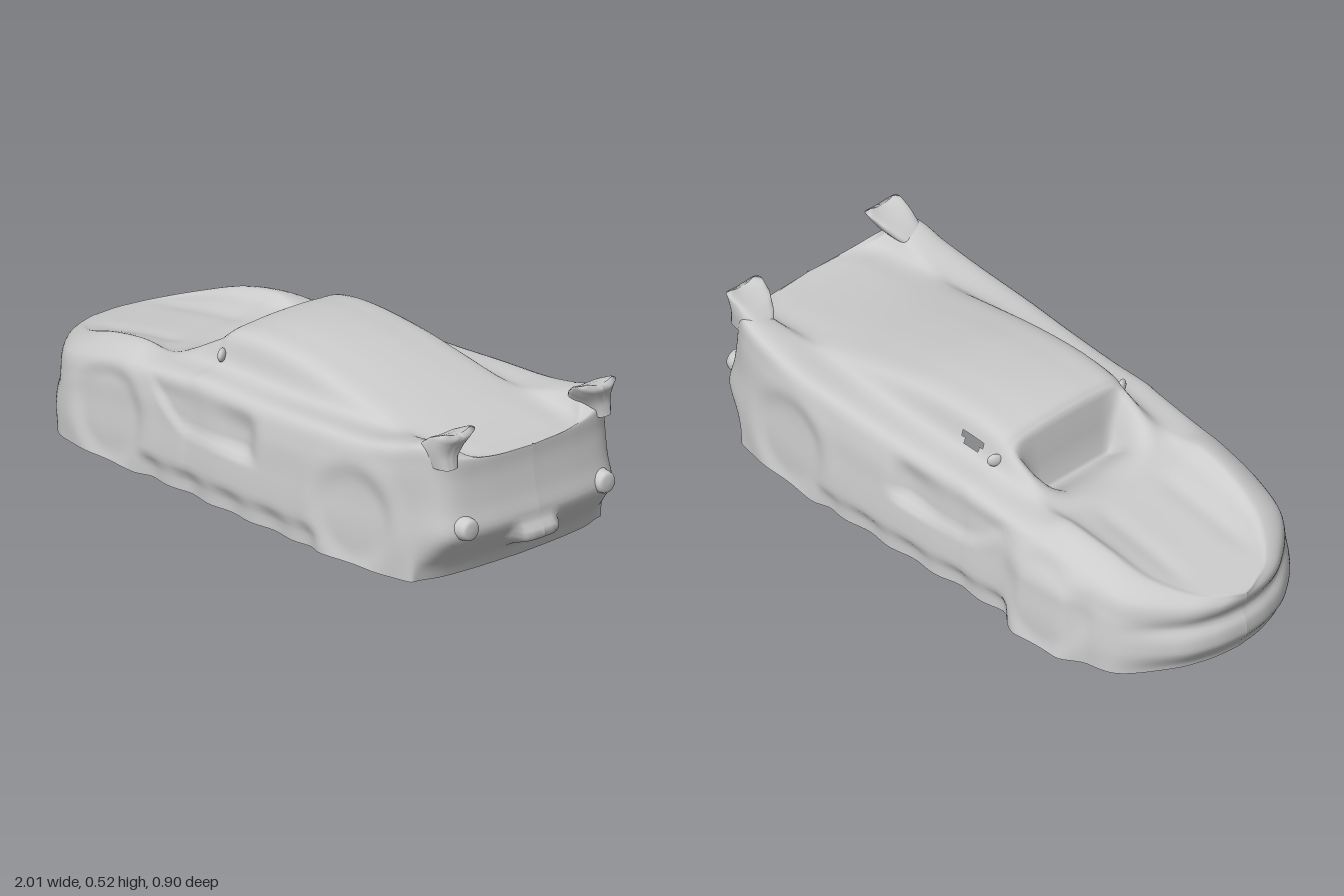
import * as THREE from 'three';

const { smoothstep, lerp } = THREE.MathUtils;
const material = new THREE.MeshStandardMaterial({ color: 0xcccccc, side: THREE.DoubleSide });

// Body stations, nose to tail:
// x, half width, shoulder z, shoulder y, cabin base z, cabin base y, roof edge y, roof centre y
const stations = [
  [-0.995, 0, 0, 0.21, 0, 0.22, 0.225, 0.23],
  [-0.98, 0.11, 0.10, 0.215, 0.06, 0.235, 0.24, 0.24],
  [-0.93, 0.225, 0.20, 0.23, 0.15, 0.255, 0.255, 0.255],
  [-0.8, 0.36, 0.325, 0.26, 0.24, 0.298, 0.288, 0.28],
  [-0.65, 0.395, 0.36, 0.30, 0.27, 0.348, 0.325, 0.305],
  [-0.5, 0.405, 0.37, 0.33, 0.28, 0.372, 0.345, 0.325],
  [-0.38, 0.41, 0.375, 0.34, 0.28, 0.36, 0.355, 0.35],
  [-0.2, 0.42, 0.38, 0.36, 0.28, 0.385, 0.45, 0.465],
  [-0.14, 0.42, 0.38, 0.37, 0.28, 0.393, 0.482, 0.505],
  [0, 0.43, 0.38, 0.37, 0.28, 0.396, 0.494, 0.52],
  [0.2, 0.435, 0.385, 0.375, 0.28, 0.396, 0.48, 0.507],
  [0.4, 0.437, 0.39, 0.385, 0.28, 0.40, 0.448, 0.468],
  [0.6, 0.425, 0.39, 0.395, 0.275, 0.40, 0.413, 0.425],
  [0.75, 0.41, 0.38, 0.42, 0.285, 0.423, 0.398, 0.40],
  [0.87, 0.385, 0.365, 0.45, 0.29, 0.443, 0.392, 0.387],
  [0.94, 0.33, 0.31, 0.41, 0.235, 0.40, 0.387, 0.385],
  [0.965, 0.20, 0.19, 0.385, 0.13, 0.385, 0.385, 0.385],
  [0.975, 0, 0, 0.382, 0, 0.383, 0.384, 0.384],
];

// Smooth blend of all station columns
function stationAt(t) {
  const i = Math.min(Math.floor(t), stations.length - 2);
  const f = t - i;
  const at = (k) => stations[Math.max(0, Math.min(stations.length - 1, k))];
  return stations[0].map((_, c) => {
    const [a, b, d, e] = [at(i - 1)[c], at(i)[c], at(i + 1)[c], at(i + 2)[c]];
    return b + 0.5 * f * (d - a + f * (2 * a - 5 * b + 4 * d - e + f * (3 * (b - d) + e - a)));
  });
}

// Full cross-section, sill to sill over the roof
function sectionCurve([, w, ws, ys, wc, yb, ye, yr]) {
  const half = [
    [w * 1.015, 0], [w * 1.01, ys * 0.28], [w * 0.985, ys * 0.55], [lerp(w, ws, 0.4), ys - 0.07], [ws, ys],
    [wc, yb], [wc * 0.83, ye], [wc * 0.45, lerp(ye, yr, 0.8)],
  ];
  const points = [...half, [0, yr], ...half.map(([z, y]) => [-z, y]).reverse()];
  return new THREE.CatmullRomCurve3(points.map(([z, y]) => new THREE.Vector3(0, y, z)));
}

// Wheel faces, sills and door scoops, as a shift of the side wall in z
function sideRelief(x, y, right) {
  let d = 0;
  for (const cx of [-0.53, 0.6]) {
    const r = Math.hypot(x - cx, y - 0.15);
    d += 0.004 * Math.exp(-(((r - 0.19) / 0.04) ** 2));
    d -= 0.009 * (1 - smoothstep(r, 0.11, 0.18));
  }
  // lumpy undercut sill under the door
  const betweenWheels = smoothstep(x, -0.4, -0.32) * (1 - smoothstep(x, 0.4, 0.48));
  d -= (0.015 + 0.006 * Math.sin(x * 32)) * betweenWheels * (1 - smoothstep(y, 0.04, 0.085));
  // hollow behind the sweeping door line, deepest at its rear end
  const lower = 0.19 + 0.17 * (Math.min(0, x + 0.14) / 0.24) ** 2;
  const scoop = smoothstep(y, lower - 0.005, lower + 0.03) * (1 - smoothstep(y, 0.27, 0.36));
  d -= scoop * lerp(0.013, 0.03, smoothstep(x, -0.1, 0.08)) *
    smoothstep(x, -0.4, -0.33) * (1 - smoothstep(x, 0.09, 0.18));
  // wider front fender on the right-hand flank
  if (right) d += 0.038 * smoothstep(x, -0.7, -0.6) * (1 - smoothstep(x, -0.44, -0.33)) * (1 - smoothstep(y, 0.2, 0.33));
  return d;
}

function bodyShell() {
  const rows = (stations.length - 1) * 10, cols = 96;
  const pos = [], index = [];
  for (let i = 0; i <= rows; i++) {
    const s = stationAt((i / rows) * (stations.length - 1));
    const curve = sectionCurve(s);
    for (let j = 0; j <= cols; j++) {
      const t = j / cols;
      let { y, z } = curve.getPoint(t);
      let x = s[0];
      // small opening in the right-hand cabin side
      const opening = z < -0.2 && ((x + 0.06) / 0.045) ** 2 + ((y - 0.44) / 0.022) ** 2 < 1;
      // side relief fades out at the shoulder and at both ends
      const side = 1 - smoothstep(Math.min(t, 1 - t), 0.2, 0.27);
      const ends = smoothstep(x, -0.9, -0.75) * (1 - smoothstep(x, 0.8, 0.88));
      z += Math.sign(z) * sideRelief(x, y, z < 0) * side * ends;
      // rounded windscreen pocket ending in a steep wall under the roof edge
      const pocket = smoothstep(x, -0.46 + 0.8 * Math.abs(z) ** 1.5, -0.22) * (1 - smoothstep(x, -0.215, -0.185)) *
        (1 - smoothstep(Math.abs(z), 0.14, 0.235));
      y = lerp(y, Math.min(y, 0.27), pocket);
      // long creases in the bonnet
      y -= 0.008 * Math.exp(-(((Math.abs(z) - 0.13) / 0.035) ** 2)) *
        smoothstep(x, -0.93, -0.75) * (1 - smoothstep(x, -0.55, -0.42));
      // nose lip and tail bumper profiles
      const nose = 1 - smoothstep(x, -0.98, -0.75);
      const tail = smoothstep(x, 0.82, 0.95);
      x += nose * (0.022 * Math.exp(-(((y - 0.16) / 0.03) ** 2)) + 0.04 * (1 - smoothstep(y, 0, 0.08)));
      x += tail * (0.018 * Math.exp(-(((y - 0.17) / 0.05) ** 2)) - 0.085 * (1 - smoothstep(y, -0.02, 0.13)));
      x -= tail * 0.014 * smoothstep(y, 0.22, 0.36);
      // central block and the scooped diffuser around it
      const low = 1 - smoothstep(y, 0.1, 0.16);
      const block = (1 - smoothstep(Math.abs(z), 0.06, 0.1)) * smoothstep(y, 0.06, 0.09);
      x += tail * low * (0.045 * block - 0.015 * (1 - block) * smoothstep(y, 0, 0.06));
      pos.push(x, Math.max(0, y), z);
      if (i < rows && j < cols && !opening) {
        const a = i * (cols + 1) + j, b = a + cols + 1;
        index.push(a, b, a + 1, b, b + 1, a + 1);
      }
    }
  }
  const geometry = new THREE.BufferGeometry();
  geometry.setAttribute('position', new THREE.Float32BufferAttribute(pos, 3));
  geometry.setIndex(index);
  geometry.computeVertexNormals();
  return geometry;
}

// Rear wing stub: lofted from closed ovals that rise out of the tail corner
function wingGeometry() {
  // x, y, half length along x, half thickness, inner z, outer z
  const levels = [
    [0.865, 0.385, 0.085, 0.285, 0.358], [0.87, 0.42, 0.072, 0.275, 0.365],
    [0.885, 0.45, 0.058, 0.25, 0.368], [0.91, 0.475, 0.045, 0.232, 0.366],
    [0.935, 0.492, 0.026, 0.226, 0.364], [0.943, 0.498, 0, 0.25, 0.345],
  ];
  const around = 32, pos = [], index = [];
  levels.forEach(([x, y, rx, z0, z1], i) => {
    for (let j = 0; j <= around; j++) {
      const a = (j / around) * Math.PI * 2;
      const [c, s] = [Math.cos(a), Math.sin(a)];
      const u = Math.sign(s) * Math.abs(s) ** 0.6;
      const lift = i > 2 ? 0.012 * u * u - 0.003 : 0;
      pos.push(x + rx * Math.sign(c) * Math.abs(c) ** 0.7, y + lift, lerp(z0, z1, (u + 1) / 2));
      if (i && j < around) {
        const q = i * (around + 1) + j, p = q - around - 1;
        index.push(p, q, p + 1, q, q + 1, p + 1);
      }
    }
  });
  const g = new THREE.BufferGeometry();
  g.setAttribute('position', new THREE.Float32BufferAttribute(pos, 3));
  g.setIndex(index);
  g.computeVertexNormals();
  return g;
}

export function createModel() {
  const car = new THREE.Group();
  car.name = 'sportsCar';
  const add = (name, geometry, parent = car) => {
    const mesh = new THREE.Mesh(geometry, material);
    mesh.name = name;
    parent.add(mesh);
    return mesh;
  };

  add('bodyShell', bodyShell());

  // Exhaust profile: flared root to rounded tip
  const exhaustProfile = new THREE.SplineCurve(
    [[0.055, 0], [0.04, 0.025], [0.036, 0.05], [0.028, 0.064], [0, 0.068]].map((p) => new THREE.Vector2(...p)),
  ).getPoints(16);

  for (const side of [1, -1]) {
    const half = new THREE.Group();
    half.name = side > 0 ? 'leftDetails' : 'rightDetails';
    half.scale.z = side;
    car.add(half);

    add('rearWing', wingGeometry(), half);

    const exhaust = add('exhaust', new THREE.LatheGeometry(exhaustProfile, 24), half);
    exhaust.rotation.z = -Math.PI / 2;
    exhaust.position.set(0.93, 0.185, 0.285);

    const mirror = add('doorMirror', new THREE.SphereGeometry(1, 16, 10), half);
    mirror.scale.set(0.012, 0.022, 0.025);
    mirror.position.set(-0.155, 0.42, 0.27);
    mirror.rotation.y = 0.5;
  }

  return car;
}
